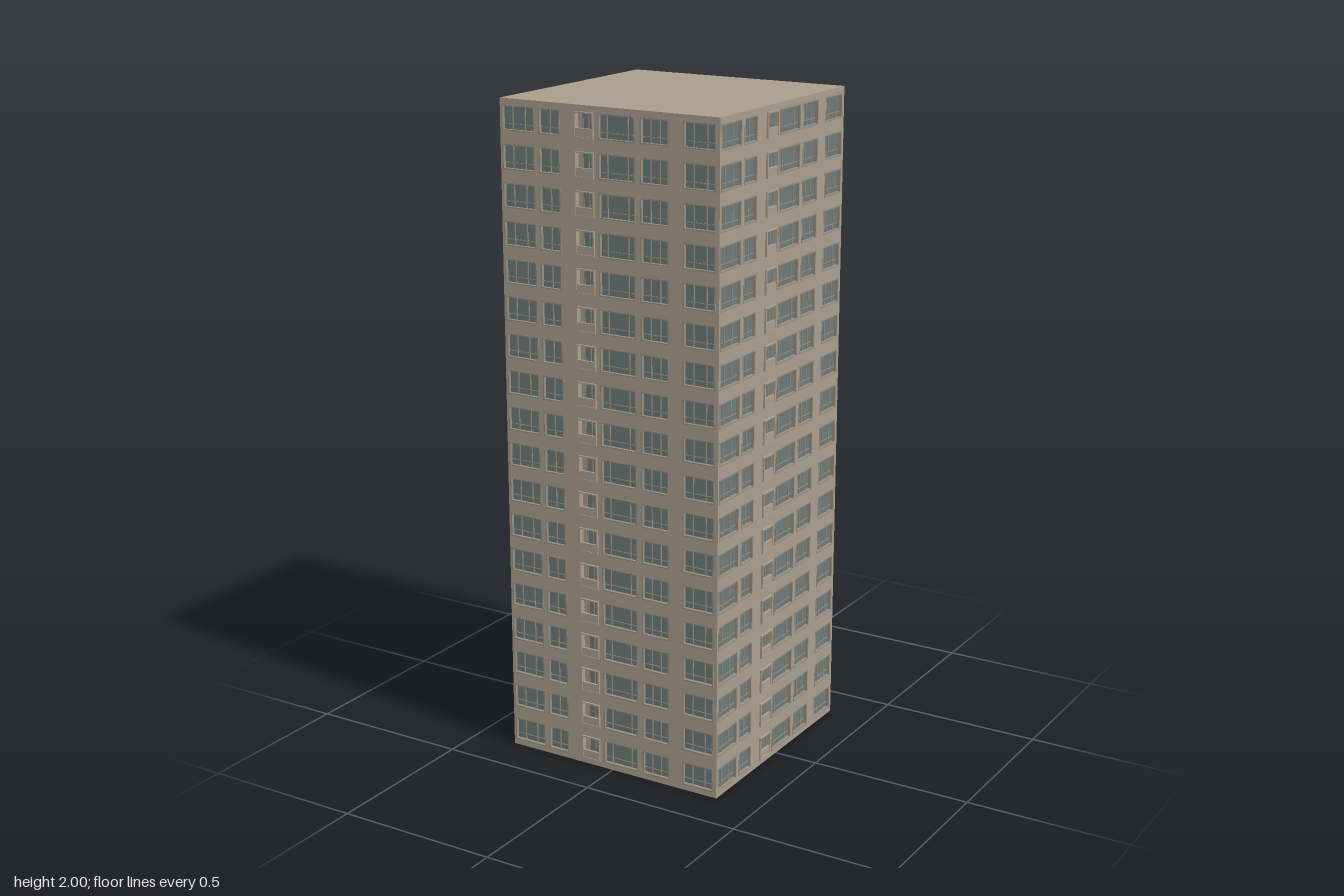
import * as THREE from 'three';
import { mergeGeometries } from 'three/addons/utils/BufferGeometryUtils.js';

const HALF = 0.362, DEPTH = 0.011, INNER = HALF - DEPTH;
const FLOORS = 18, PITCH = 0.1112, FIRST = 0.054, WIN_H = 0.074;

// Window bays across one facade: left edge, right edge, pane divisions
const BAYS = [
  { a: -0.356, b: -0.244, splits: [0.3, 0.68] },
  { a: -0.230, b: -0.158, splits: [0.5] },
  { a: -0.030, b: 0.092, splits: [0.22, 0.78] },
  { a: 0.108, b: 0.200, splits: [0.33, 0.66] },
  { a: 0.246, b: 0.350, splits: [0.3, 0.7] },
];
const BALCONY = { a: -0.107, b: -0.043 };

// Box given by its two opposite corners
function block(x0, x1, y0, y1, z0, z1) {
  const g = new THREE.BoxGeometry(x1 - x0, y1 - y0, z1 - z0);
  return g.translate((x0 + x1) / 2, (y0 + y1) / 2, (z0 + z1) / 2);
}

// Four bars around an opening
function surround(out, a, b, y0, y1, t, z0, z1) {
  out.push(block(a, a + t, y0, y1, z0, z1), block(b - t, b, y0, y1, z0, z1));
  out.push(block(a + t, b - t, y0, y0 + t, z0, z1), block(a + t, b - t, y1 - t, y1, z0, z1));
}

function rect(Type, x0, x1, y0, y1) {
  const p = new Type();
  p.moveTo(x0, y0);
  p.lineTo(x1, y0);
  p.lineTo(x1, y1);
  p.lineTo(x0, y1);
  p.closePath();
  return p;
}

export function createModel() {
  const concrete = new THREE.MeshStandardMaterial({ color: 0xa99e8d });
  concrete.name = 'concrete';
  const frameTan = new THREE.MeshStandardMaterial({ color: 0x968e7f });
  frameTan.name = 'window frame';
  const glass = new THREE.MeshStandardMaterial({ color: 0x6a7a78 });
  glass.name = 'glass';

  // Facade panel pierced by every opening
  const wall = rect(THREE.Shape, -HALF, INNER, 0, 2);
  const frames = [], panes = [], balconies = [];

  for (let i = 0; i < FLOORS; i++) {
    const y0 = FIRST + i * PITCH - WIN_H / 2, y1 = y0 + WIN_H;

    // Windows: glass, surround, mullions and a low transom
    for (const { a, b, splits } of BAYS) {
      const right = Math.min(b, INNER - 0.001);
      wall.holes.push(rect(THREE.Path, a, right, y0, y1));
      panes.push(block(a, right, y0, y1, INNER, INNER + 0.002));
      surround(frames, a, right, y0, y1, 0.004, INNER, HALF + 0.001);
      for (const s of splits) {
        const x = a + (right - a) * s;
        frames.push(block(x - 0.0015, x + 0.0015, y0, y1, INNER, INNER + 0.005));
      }
      const t = y0 + WIN_H * 0.27;
      frames.push(block(a, right, t - 0.001, t + 0.001, INNER, INNER + 0.004));
    }

    // Shallow balcony: projecting rim, parapet, rear door and glazing
    const { a, b } = BALCONY;
    wall.holes.push(rect(THREE.Path, a, b, y0, y1));
    surround(balconies, a, b, y0, y1, 0.004, INNER, HALF + 0.006);
    balconies.push(block(a, b, y0, y0 + 0.028, HALF - 0.003, HALF + 0.004));
    panes.push(block(a + 0.022, b, y0, y1, INNER, INNER + 0.002));
    for (const x of [a + 0.022, a + 0.042]) {
      frames.push(block(x - 0.0015, x + 0.0015, y0, y1, INNER, INNER + 0.004));
    }
  }

  const wallGeo = new THREE.ExtrudeGeometry(wall, { depth: DEPTH, bevelEnabled: false });
  wallGeo.translate(0, 0, INNER);
  const parts = [
    ['wall', wallGeo, concrete],
    ['windowFrames', mergeGeometries(frames), frameTan],
    ['windowGlass', mergeGeometries(panes), glass],
    ['balconies', mergeGeometries(balconies), concrete],
  ];

  const tower = new THREE.Group();
  tower.name = 'apartmentTower';
  const core = new THREE.Mesh(block(-INNER, INNER, 0, 2, -INNER, INNER), concrete);
  core.name = 'core';
  tower.add(core);

  // The same facade is turned around all four sides
  ['front', 'left', 'back', 'right'].forEach((side, k) => {
    const facade = new THREE.Group();
    facade.name = side + 'Facade';
    for (const [name, geo, mat] of parts) {
      const mesh = new THREE.Mesh(geo, mat);
      mesh.name = name;
      facade.add(mesh);
    }
    facade.rotation.y = k * Math.PI / 2;
    tower.add(facade);
  });
  return tower;
}
